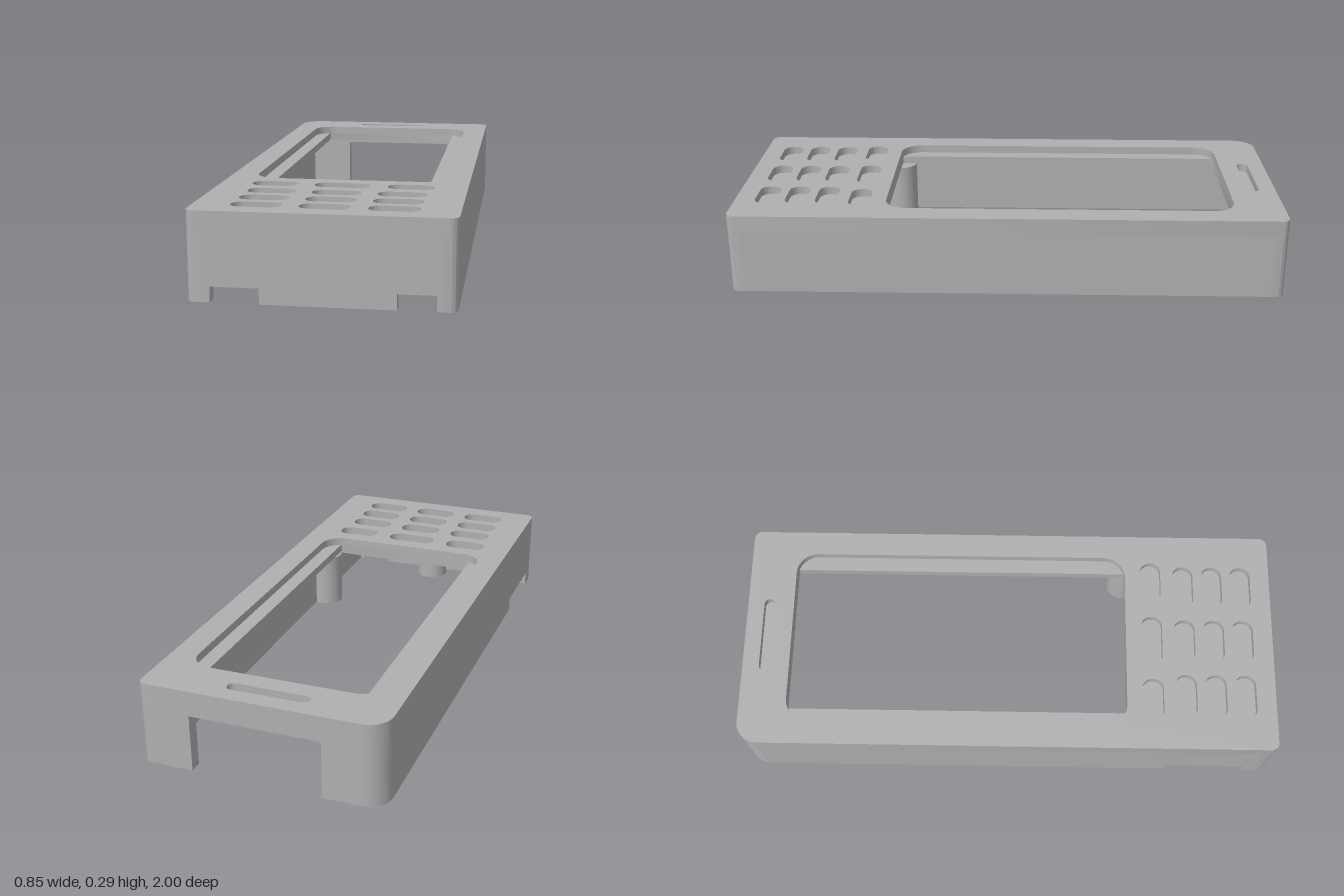
import * as THREE from 'three';
import { toCreasedNormals } from 'three/addons/utils/BufferGeometryUtils.js';

const W = 0.427, L = 1, H = 0.295;   // half width, half length, height
const T = 0.045;                     // wall thickness
const FLOOR = 0.235, LEDGE = 0.265;  // underside of the face plate, bottom of its recesses
const R = 0.03, BIG = 0.08;          // corner radii
const POST = 0.06;                   // plan size of a corner post

// Rounded rectangle in plan; plan y is -z. Radii: front left, front right, back right, back left.
function roundRect(target, x0, z0, x1, z1, radii) {
  const [a, b, c, d] = radii;
  const y0 = -z1, y1 = -z0;
  target.moveTo(x0 + a, y0);
  target.lineTo(x1 - b, y0);
  target.absarc(x1 - b, y0 + b, b, -Math.PI / 2, 0);
  target.lineTo(x1, y1 - c);
  target.absarc(x1 - c, y1 - c, c, 0, Math.PI / 2);
  target.lineTo(x0 + d, y1);
  target.absarc(x0 + d, y1 - d, d, Math.PI / 2, Math.PI);
  target.lineTo(x0, y0 + a);
  target.absarc(x0 + a, y0 + a, a, Math.PI, Math.PI * 1.5);
  return target;
}

const hole = (x0, z0, x1, z1, r) => roundRect(new THREE.Path(), x0, z0, x1, z1, [r, r, r, r]);

// Extrude a plan shape upward from y0 to y1
function slab(shape, y0, y1) {
  const g = new THREE.ExtrudeGeometry(shape, { depth: y1 - y0, bevelEnabled: false, curveSegments: 10 });
  g.rotateX(-Math.PI / 2);
  g.translate(0, y0, 0);
  return toCreasedNormals(g, 0.6);
}

// Wall elevation from u0 to u1 with rectangular notches [from, to, height] in its lower edge
function wall(u0, u1, notches) {
  const s = new THREE.Shape();
  s.moveTo(u0, 0);
  for (const [a, b, h] of notches) {
    s.lineTo(a, 0);
    s.lineTo(a, h);
    s.lineTo(b, h);
    s.lineTo(b, 0);
  }
  s.lineTo(u1, 0);
  s.lineTo(u1, FLOOR);
  s.lineTo(u0, FLOOR);
  s.closePath();
  return new THREE.ExtrudeGeometry(s, { depth: T, bevelEnabled: false });
}

// L-shaped corner post with a rounded outside edge
function cornerPost(r, size) {
  const s = new THREE.Shape();
  s.moveTo(r, 0);
  s.lineTo(size, 0);
  s.lineTo(size, T);
  s.lineTo(T, T);
  s.lineTo(T, size);
  s.lineTo(0, size);
  s.lineTo(0, r);
  s.absarc(r, r, r, Math.PI, Math.PI * 1.5);
  return slab(s, 0, FLOOR);
}

export function createModel() {
  const model = new THREE.Group();
  model.name = 'handsetFrontCover';
  const grey = new THREE.MeshStandardMaterial({ color: 0xb0b0b0 });
  grey.name = 'plasticGrey';
  const add = (name, geometry, x = 0, y = 0, z = 0, turn = 0) => {
    const m = new THREE.Mesh(geometry, grey);
    m.name = name;
    m.position.set(x, y, z);
    m.rotation.y = turn;
    model.add(m);
    return m;
  };
  const outline = () => roundRect(new THREE.Shape(), -W, -L, W, L, [R, R, R, BIG]);

  // Face plate, upper layer: screen recess, earpiece slot and key pockets
  const face = outline();
  face.holes.push(hole(-0.337, -0.825, 0.335, 0.445, 0.08));
  face.holes.push(hole(-0.147, -0.938, 0.143, -0.895, 0.021));
  const key = (x, z, w) => face.holes.push(hole(x - w / 2, z - 0.039, x + w / 2, z + 0.039, 0.037));
  key(-0.238, 0.543, 0.16);
  key(-0.003, 0.543, 0.19);
  key(0.235, 0.543, 0.16);
  for (const z of [0.667, 0.778, 0.888]) {
    for (const x of [-0.223, -0.003, 0.218]) key(x, z, 0.165);
  }
  add('facePlate', slab(face, LEDGE, H));

  // Lower layer: pocket bottoms and the ledges along both sides of the screen opening
  const backing = outline();
  backing.holes.push(hole(-0.285, -0.825, 0.28, 0.445, 0.005));
  add('facePlateBacking', slab(backing, FLOOR, LEDGE));

  // Low rib under the plate at the lower end of the screen
  add('screenRib', new THREE.BoxGeometry(0.6, 0.012, 0.035), 0, FLOOR - 0.006, 0.475);

  // Walls between the corner posts
  add('frontWall', wall(-W + POST, W - POST, [[-0.351, -0.193, 0.052], [0.24, 0.363, 0.052]]), 0, 0, L - T);
  add('backWall', wall(-W + BIG, W - POST, [[-0.215, 0.245, 0.205]]), 0, 0, -L);
  add('leftWall', wall(-L + POST, L - POST, []), W - T, 0, 0, Math.PI / 2);
  add('rightWall', wall(-L + POST, L - BIG, [[-0.91, -0.61, 0.052]]), -W, 0, 0, Math.PI / 2);

  // Corner posts, one of them with a larger radius
  const post = cornerPost(R, POST);
  add('cornerFrontRight', post, -W, 0, L);
  add('cornerFrontLeft', post, W, 0, L, Math.PI / 2);
  add('cornerBackLeft', post, W, 0, -L, Math.PI);
  add('cornerBackRight', cornerPost(BIG, BIG), -W, 0, -L, -Math.PI / 2);

  // Screw bosses with a counterbored blind hole from below
  const boss = (name, x, z, top) => {
    const profile = [[0, 0.1], [0.036, 0.1], [0.036, 0.02], [0.05, 0.02], [0.05, 0], [0.064, 0], [0.064, top], [0, top]];
    const g = new THREE.LatheGeometry(profile.map(([r, y]) => new THREE.Vector2(r, y)), 32);
    add(name, toCreasedNormals(g, 0.6), x, 0, z);
  };
  boss('screwBossRight', -0.356, 0.46, 0.21);
  boss('screwBossLeft', 0.355, 0.46, 0.21);
  boss('screwBossFront', 0.01, 0.9, FLOOR);

  return model;
}
